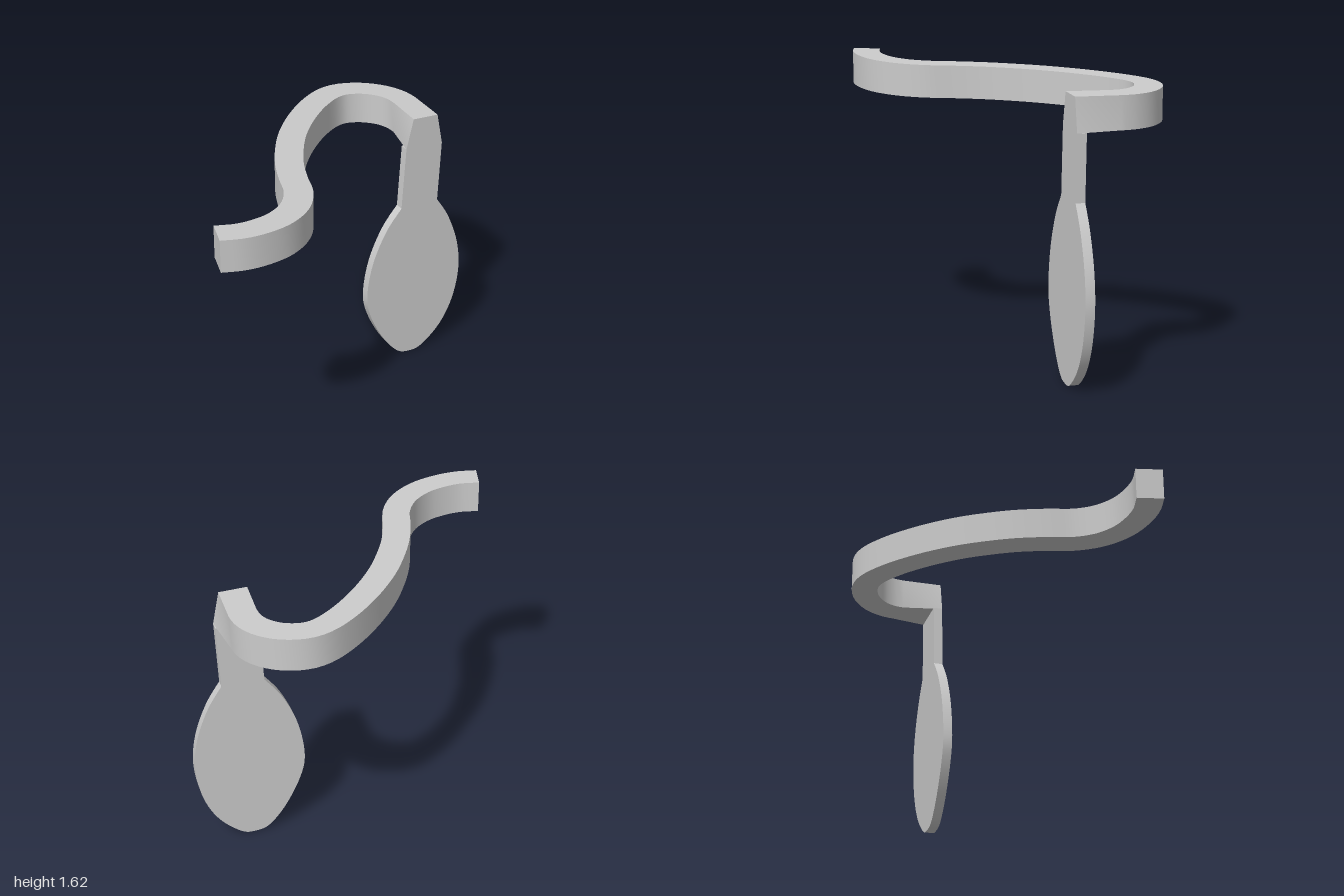
import * as THREE from 'three';
import { toCreasedNormals } from 'three/addons/utils/BufferGeometryUtils.js';

const material = new THREE.MeshStandardMaterial({ color: 0xcccccc });
const SLANT = 0.183; // x drift of the paddle's face per unit of z
const faceX = (z) => 0.026 - SLANT * (z + 0.697);
const armTop = (z) => 1.54 + 0.0457 * (z + 0.86);
const ARM_HEIGHT = 0.18;
const ARM_WIDTH = 0.15;

// S-shaped arm: a rectangular section swept along a gently rising path
function armGeometry() {
  const path = new THREE.CatmullRomCurve3([
    [-0.2, -0.782], [-0.27, -0.785], [-0.36, -0.76], [-0.455, -0.685], [-0.51, -0.58], [-0.512, -0.49],
    [-0.46, -0.35], [-0.35, -0.17], [-0.21, 0], [-0.08, 0.12], [0.05, 0.22], [0.19, 0.303],
    [0.335, 0.378], [0.44, 0.48], [0.5, 0.61], [0.512, 0.73], [0.496, 0.85], [0.448, 0.96],
  ].map(([x, z]) => new THREE.Vector3(x, 0, z)), false, 'centripetal');

  // End section, flared at the bottom to meet the paddle's stem
  const positions = [];
  for (const [z, drop] of [[-0.81, 0], [-0.66, 0], [-0.62, ARM_HEIGHT], [-0.845, ARM_HEIGHT]]) {
    positions.push(faceX(z), armTop(z) - drop, z);
  }
  const steps = 72;
  for (let i = 0; i <= steps; i++) {
    const p = path.getPointAt(i / steps);
    const t = path.getTangentAt(i / steps);
    for (const [side, drop] of [[1, 0], [-1, 0], [-1, ARM_HEIGHT], [1, ARM_HEIGHT]]) {
      const x = p.x - t.z * side * ARM_WIDTH / 2;
      const z = p.z + t.x * side * ARM_WIDTH / 2;
      positions.push(x, armTop(z) - drop, z);
    }
  }

  // Skin between sections, then the two end caps
  const index = [0, 1, 2, 0, 2, 3];
  for (let i = 0; i <= steps; i++) {
    for (let j = 0; j < 4; j++) {
      const a = i * 4 + j, b = i * 4 + (j + 1) % 4;
      index.push(a, a + 4, b, b, a + 4, b + 4);
    }
  }
  const e = (steps + 1) * 4;
  index.push(e, e + 2, e + 1, e, e + 3, e + 2);

  const geometry = new THREE.BufferGeometry();
  geometry.setAttribute('position', new THREE.Float32BufferAttribute(positions, 3));
  geometry.setIndex(index);
  return toCreasedNormals(geometry, 0.6);
}

// Flat paddle: straight stem above an oval blade, outlined in (z, y)
function paddleGeometry(thickness) {
  const stretch = Math.hypot(1, SLANT);
  const point = ([z, y]) => new THREE.Vector2(-(z + 0.697) * stretch, y);
  const blade = [
    [-0.6, 1], [-0.505, 0.87], [-0.425, 0.68], [-0.392, 0.47], [-0.42, 0.32], [-0.505, 0.145], [-0.6, 0.028],
    [-0.68, 0.002], [-0.76, 0.018], [-0.88, 0.13], [-0.96, 0.29], [-0.995, 0.49], [-0.975, 0.68],
    [-0.91, 0.865], [-0.83, 1],
  ].map(point);
  const outline = new THREE.SplineCurve(blade).getPoints(84);
  outline.push(point([-0.845, armTop(-0.845) - ARM_HEIGHT]), point([-0.62, armTop(-0.62) - ARM_HEIGHT]));
  const geometry = new THREE.ExtrudeGeometry(new THREE.Shape(outline), { depth: thickness, bevelEnabled: false });
  return toCreasedNormals(geometry, 0.4);
}

export function createModel() {
  const model = new THREE.Group();
  model.name = 'hookWithPaddle';

  const arm = new THREE.Mesh(armGeometry(), material);
  arm.name = 'curvedArm';

  // Paddle hangs upright, its outer face flush with the arm's end
  const thickness = 0.052;
  const paddle = new THREE.Mesh(paddleGeometry(thickness), material);
  paddle.name = 'paddle';
  const angle = Math.PI / 2 - Math.atan(SLANT);
  paddle.rotation.y = angle;
  paddle.position.set(0.026 - Math.sin(angle) * thickness, 0, -0.697 - Math.cos(angle) * thickness);

  model.add(arm, paddle);
  return model;
}
